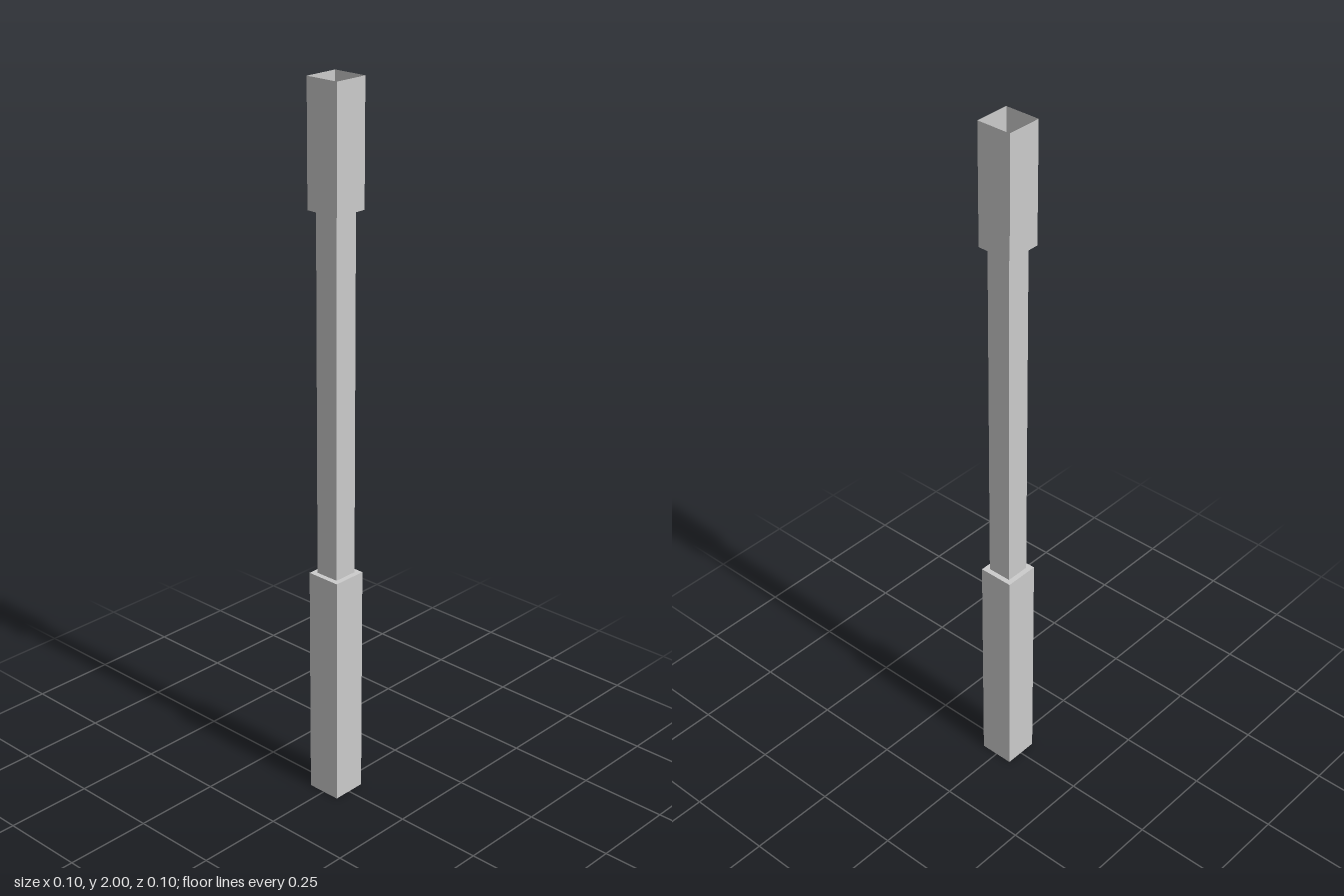
import * as THREE from 'three';

const material = new THREE.MeshStandardMaterial({ color: 0xcccccc, side: THREE.DoubleSide, flatShading: true });

// Square thin-walled section from y0 to y1, with its top and/or bottom face left open
function section(name, width, y0, y1, openTop, openBottom) {
  const geometry = new THREE.BoxGeometry(width, y1 - y0, width);
  // Box faces come in the order +x, -x, +y, -y, +z, -z, six indices each
  const index = Array.from(geometry.index.array).filter((_, i) => {
    const face = Math.floor(i / 6);
    return !(face === 2 && openTop) && !(face === 3 && openBottom);
  });
  geometry.setIndex(index);
  geometry.clearGroups();
  geometry.translate(0, (y0 + y1) / 2, 0);
  const mesh = new THREE.Mesh(geometry, material);
  mesh.name = name;
  return mesh;
}

export function createModel() {
  const post = new THREE.Group();
  post.name = 'post';
  post.add(
    section('lowerSleeve', 0.1, 0, 0.667, false, true), // hollow, open at the foot
    section('shaft', 0.07, 0.667, 1.667, true, true), // slim middle, closed by the sleeves
    section('upperSleeve', 0.1, 1.667, 2, true, false) // hollow, open at the top
  );
  return post;
}
